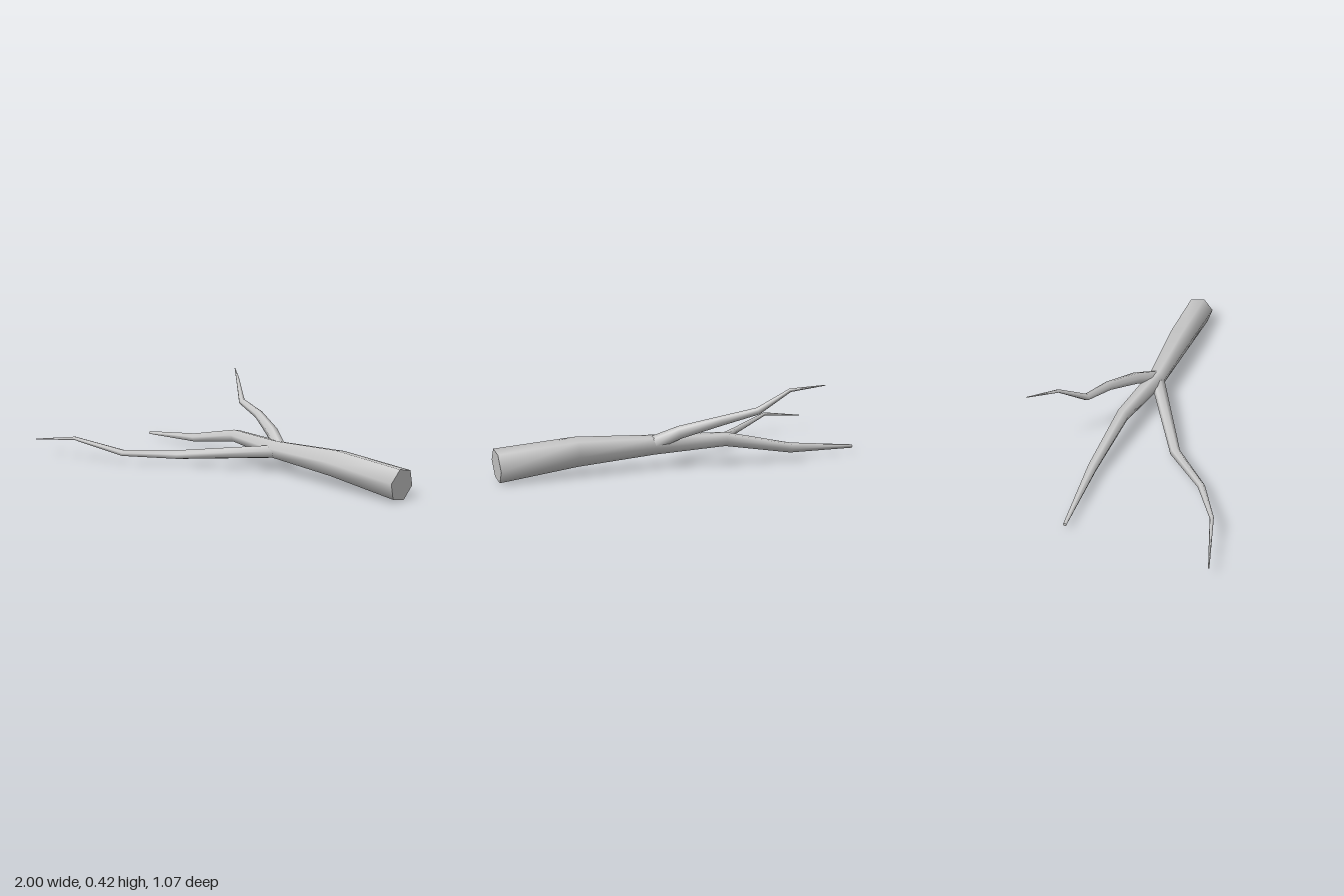
import * as THREE from 'three';

const SIDES = 6;
const START_ANGLE = 1.25;

// Tapered six-sided limb swept through rings of [x, y, z, radius], capped at both ends
function limbGeometry(rings) {
  const centres = rings.map(([x, y, z]) => new THREE.Vector3(x, y, z));
  const last = rings.length - 1;
  const positions = [];
  const indices = [];
  const loops = centres.map((c, i) => {
    const t = new THREE.Vector3();
    if (i > 0) t.add(c.clone().sub(centres[i - 1]).normalize());
    if (i < last) t.add(centres[i + 1].clone().sub(c).normalize());
    t.normalize();
    const u = new THREE.Vector3(0, 0, 1).addScaledVector(t, -t.z).normalize();
    const v = new THREE.Vector3().crossVectors(t, u);
    return Array.from({ length: SIDES }, (_, j) => {
      const a = START_ANGLE + (j / SIDES) * Math.PI * 2;
      return c.clone()
        .addScaledVector(u, Math.cos(a) * rings[i][3])
        .addScaledVector(v, Math.sin(a) * rings[i][3]);
    });
  });

  // Bark shares its vertices so it shades smoothly
  loops.forEach((loop) => loop.forEach((p) => positions.push(p.x, p.y, p.z)));
  for (let i = 0; i < last; i++) {
    for (let j = 0; j < SIDES; j++) {
      const a = i * SIDES + j;
      const b = i * SIDES + ((j + 1) % SIDES);
      indices.push(a, b, a + SIDES, b, b + SIDES, a + SIDES);
    }
  }

  // End cuts have their own vertices so their rims stay sharp
  [0, last].forEach((ring) => {
    const base = positions.length / 3;
    loops[ring].forEach((p) => positions.push(p.x, p.y, p.z));
    for (let j = 1; j < SIDES - 1; j++) {
      if (ring === 0) indices.push(base, base + j + 1, base + j);
      else indices.push(base, base + j, base + j + 1);
    }
  });

  const geometry = new THREE.BufferGeometry();
  geometry.setAttribute('position', new THREE.Float32BufferAttribute(positions, 3));
  geometry.setIndex(indices);
  geometry.computeVertexNormals();
  return geometry;
}

const LIMBS = {
  // Thick cut end running through to the middle twig
  mainBranch: [
    [0.988, 0.082, -0.17, 0.082],
    [0.6, 0.117, -0.16, 0.073],
    [0.2, 0.12, -0.152, 0.05],
    [-0.17, 0.13, -0.2, 0.036],
    [-0.53, 0.062, -0.219, 0.026],
    [-0.915, 0.036, -0.194, 0.009],
  ],
  // Long twig reaching forward
  frontTwig: [
    [0.19, 0.112, -0.14, 0.036],
    [-0.275, 0.057, 0.122, 0.026],
    [-0.48, 0.063, 0.327, 0.018],
    [-0.73, 0.121, 0.458, 0.01],
    [-1.0, 0.085, 0.532, 0.003],
  ],
  // Short twig rising to the back
  backTwig: [
    [0.2, 0.13, -0.16, 0.036],
    [0.085, 0.186, -0.222, 0.032],
    [-0.1, 0.243, -0.302, 0.024],
    [-0.28, 0.287, -0.344, 0.018],
    [-0.41, 0.394, -0.43, 0.009],
    [-0.546, 0.425, -0.534, 0.002],
  ],
};

export function createModel() {
  const group = new THREE.Group();
  group.name = 'branch';
  const bark = new THREE.MeshStandardMaterial({ color: 0xcccccc });
  bark.name = 'pale grey bark';
  for (const [name, rings] of Object.entries(LIMBS)) {
    const mesh = new THREE.Mesh(limbGeometry(rings), bark);
    mesh.name = name;
    group.add(mesh);
  }
  return group;
}
